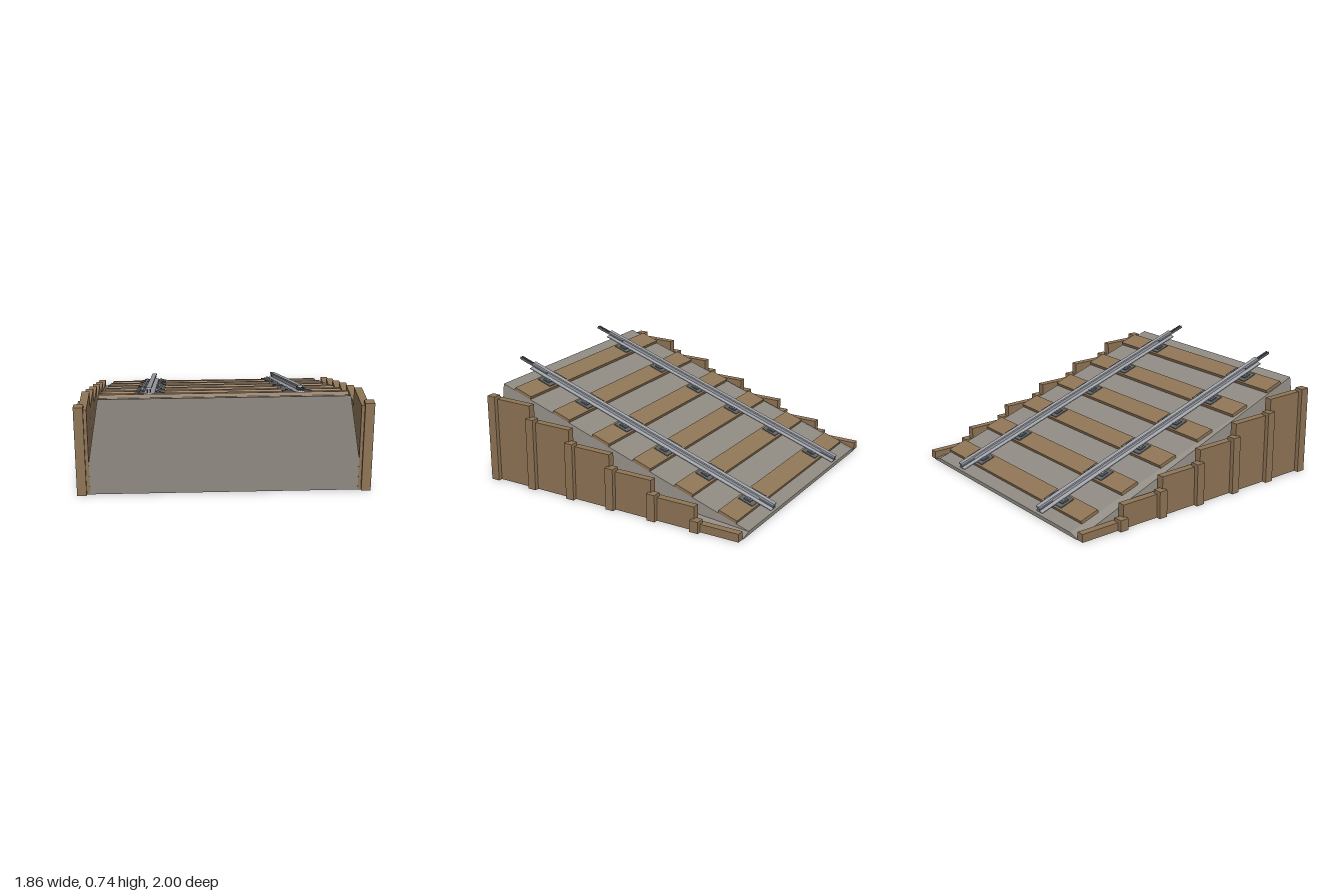
import * as THREE from 'three';

const mat = (name, color, side = THREE.FrontSide) =>
  Object.assign(new THREE.MeshStandardMaterial({ color, side }), { name });

export function createModel() {
  const gravel = mat('gravel', 0x8f8a82);
  const wood = mat('wood', 0x8f7556);
  const steel = mat('rail steel', 0x9fa2a9);
  const darkSteel = mat('dark steel', 0x5f6367);

  const model = new THREE.Group();
  model.name = 'railRamp';
  const add = (parent, name, geometry, material, x = 0, y = 0, z = 0) => {
    const mesh = new THREE.Mesh(geometry, material);
    mesh.name = name;
    mesh.position.set(x, y, z);
    parent.add(mesh);
    return mesh;
  };
  // box given by its extents
  const block = (parent, name, material, x0, x1, y0, y1, z0, z1) =>
    add(parent, name, new THREE.BoxGeometry(x1 - x0, y1 - y0, z1 - z0), material,
      (x0 + x1) / 2, (y0 + y1) / 2, (z0 + z1) / 2);

  // Gravel wedge: a high front section and a low back section with bevelled shoulders
  const section = (z, shoulder, top) => [
    [-0.85, 0, z], [0.85, 0, z], [0.85, shoulder, z],
    [0.78, top, z], [-0.78, top, z], [-0.85, shoulder, z],
  ];
  const front = section(0.9, 0.22, 0.645), back = section(-0.98, 0.004, 0.025);
  const pos = [];
  const tri = (a, b, c) => pos.push(...a, ...b, ...c);
  for (let i = 0; i < 6; i++) {
    const j = (i + 1) % 6;
    tri(front[i], back[i], back[j]);
    tri(front[i], back[j], front[j]);
    if (i > 0 && i < 5) {
      tri(front[0], front[i], front[j]);
      tri(back[0], back[j], back[i]);
    }
  }
  const wedge = new THREE.BufferGeometry();
  wedge.setAttribute('position', new THREE.Float32BufferAttribute(pos, 3));
  wedge.computeVertexNormals();
  add(model, 'gravelBed', wedge, gravel);

  // Stepped retaining walls: posts and boards on both sides
  for (const side of [-1, 1]) {
    const wall = new THREE.Group();
    wall.name = side > 0 ? 'leftWall' : 'rightWall';
    model.add(wall);
    const span = (a, b) => (side > 0 ? [a, b] : [-b, -a]);
    for (let i = 0; i < 6; i++) {
      const z = 0.89 - 0.3135 * i;
      block(wall, 'post', wood, ...span(0.87, 0.93), 0, 0.6 - 0.1045 * i, z - 0.03, z + 0.03);
      block(wall, 'board', wood, ...span(0.85, 0.9), 0, 0.578 - 0.1048 * i, z - 0.298, z + 0.012);
    }
  }

  // Track, laid out flat in its own frame and tilted to the slope
  const tilt = Math.atan(0.33);
  const track = new THREE.Group();
  track.name = 'track';
  track.position.y = 0.348;
  track.rotation.x = -tilt;
  model.add(track);

  // Half outline of the rail: foot, web and head
  const half = [[0.033, 0.025], [0.033, 0.031], [0.006, 0.037], [0.006, 0.056], [0.016, 0.06], [0.016, 0.071]];
  const outline = [...half, ...half.map(([x, y]) => [-x, y]).reverse()];
  const railShape = new THREE.Shape(outline.map(([x, y]) => new THREE.Vector2(x, y)));
  const railBack = -1.03, railFront = 0.957;
  const railGeometry = new THREE.ExtrudeGeometry(railShape, { depth: railFront - railBack, bevelEnabled: false });

  const railX = 0.464;
  for (const x of [-railX, railX]) {
    add(track, 'rail', railGeometry, steel, x, 0, railBack);
    for (const s of [-1, 1]) {
      const cx = x + s * 0.009;
      block(track, 'jointBar', darkSteel, cx - 0.003, cx + 0.003, 0.041, 0.059, 0.83, 1.07);
      block(track, 'jointBar', darkSteel, cx - 0.003, cx + 0.003, 0.041, 0.059, railBack, -0.92);
    }
  }

  // Sleepers with base plates, clips and bolts
  for (let i = 0; i < 6; i++) {
    const s = (0.735 - 0.314 * i + 0.008) / Math.cos(tilt);
    block(track, 'sleeper', wood, -0.78, 0.78, -0.02, 0.022, s - 0.068, s + 0.068);
    for (const x of [-railX, railX]) {
      block(track, 'basePlate', darkSteel, x - 0.093, x + 0.093, 0.02, 0.028, s - 0.053, s + 0.053);
      for (const k of [-1, 1]) {
        const cx = x + k * 0.053;
        block(track, 'clip', darkSteel, cx - 0.02, cx + 0.02, 0.028, 0.035, s - 0.024, s + 0.024);
        block(track, 'bolt', steel, cx - 0.007, cx + 0.007, 0.035, 0.042, s - 0.01, s + 0.01);
      }
    }
  }
  return model;
}
